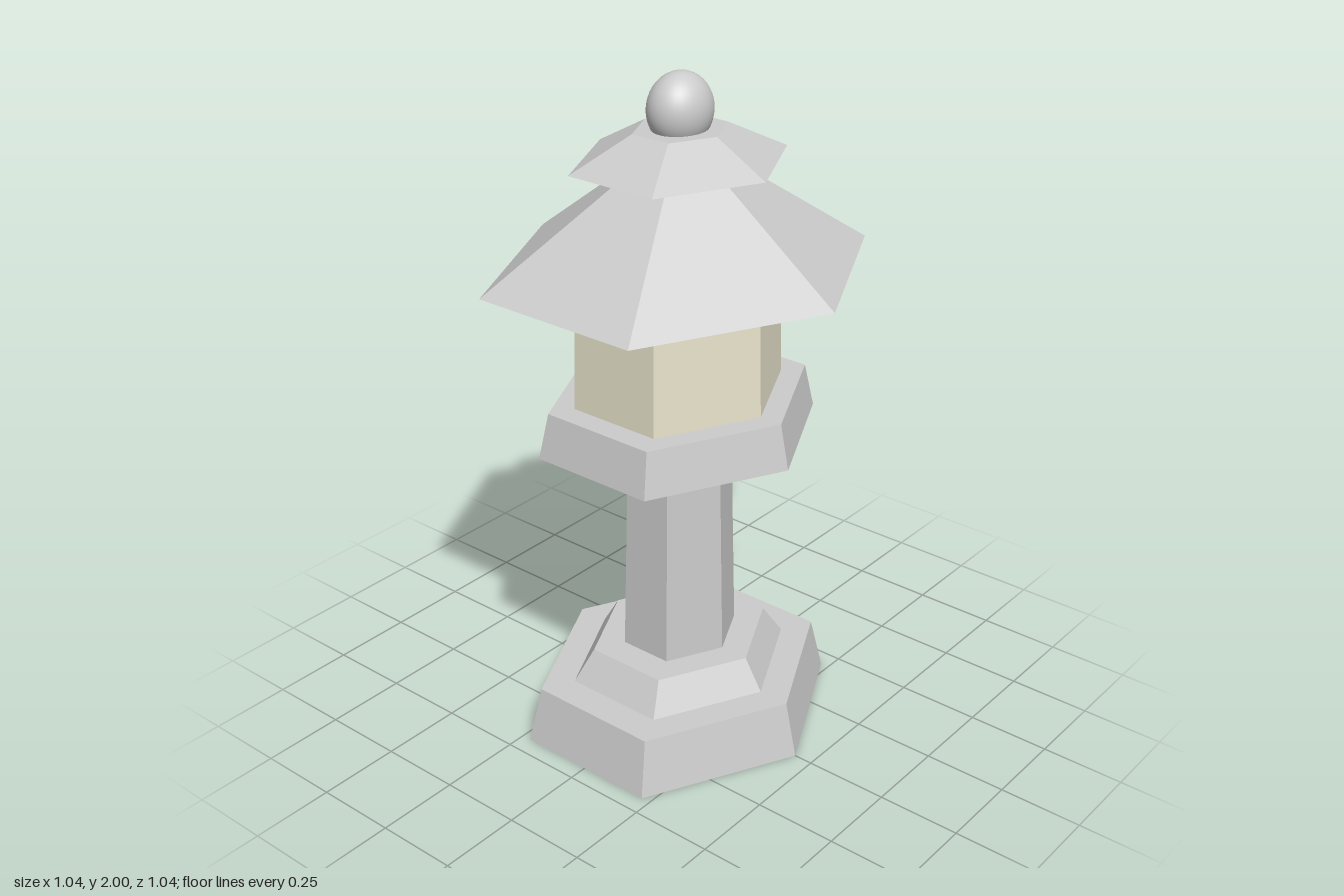
import * as THREE from 'three';

// Stretch that makes the hexagons as wide (x) as they are deep (z)
const STRETCH = 2 / Math.sqrt(3);

export function createModel() {
  const group = new THREE.Group();
  const stone = new THREE.MeshStandardMaterial({ color: 0xcccccc, flatShading: true });
  const smoothStone = new THREE.MeshStandardMaterial({ color: 0xcccccc });
  const paper = new THREE.MeshStandardMaterial({ color: 0xe9e3cc, flatShading: true });

  // Tapered hexagonal tier with corners on the z axis
  function tier(name, y0, y1, rBottom, rTop, material = stone) {
    const geometry = new THREE.CylinderGeometry(rTop, rBottom, y1 - y0, 6);
    geometry.scale(STRETCH, 1, 1);
    geometry.translate(0, (y0 + y1) / 2, 0);
    const mesh = new THREE.Mesh(geometry, material);
    mesh.name = name;
    group.add(mesh);
  }

  // Foot and post
  tier('base', 0, 0.17, 0.443, 0.405);
  tier('baseStep', 0.17, 0.265, 0.31, 0.252);
  tier('post', 0.265, 0.942, 0.163, 0.146);

  // Light chamber on its platform
  tier('platform', 0.942, 1.075, 0.386, 0.358);
  tier('lightChamber', 1.075, 1.45, 0.288, 0.278, paper);

  // Two-tier roof
  tier('roof', 1.45, 1.755, 0.52, 0.113);
  tier('roofCap', 1.755, 1.845, 0.288, 0.125);

  // Rounded finial, sunk into the cap
  const ball = new THREE.SphereGeometry(0.086, 32, 20);
  ball.scale(STRETCH, 1.2, 1);
  ball.translate(0, 1.897, 0);
  const finial = new THREE.Mesh(ball, smoothStone);
  finial.name = 'finial';
  group.add(finial);

  return group;
}
